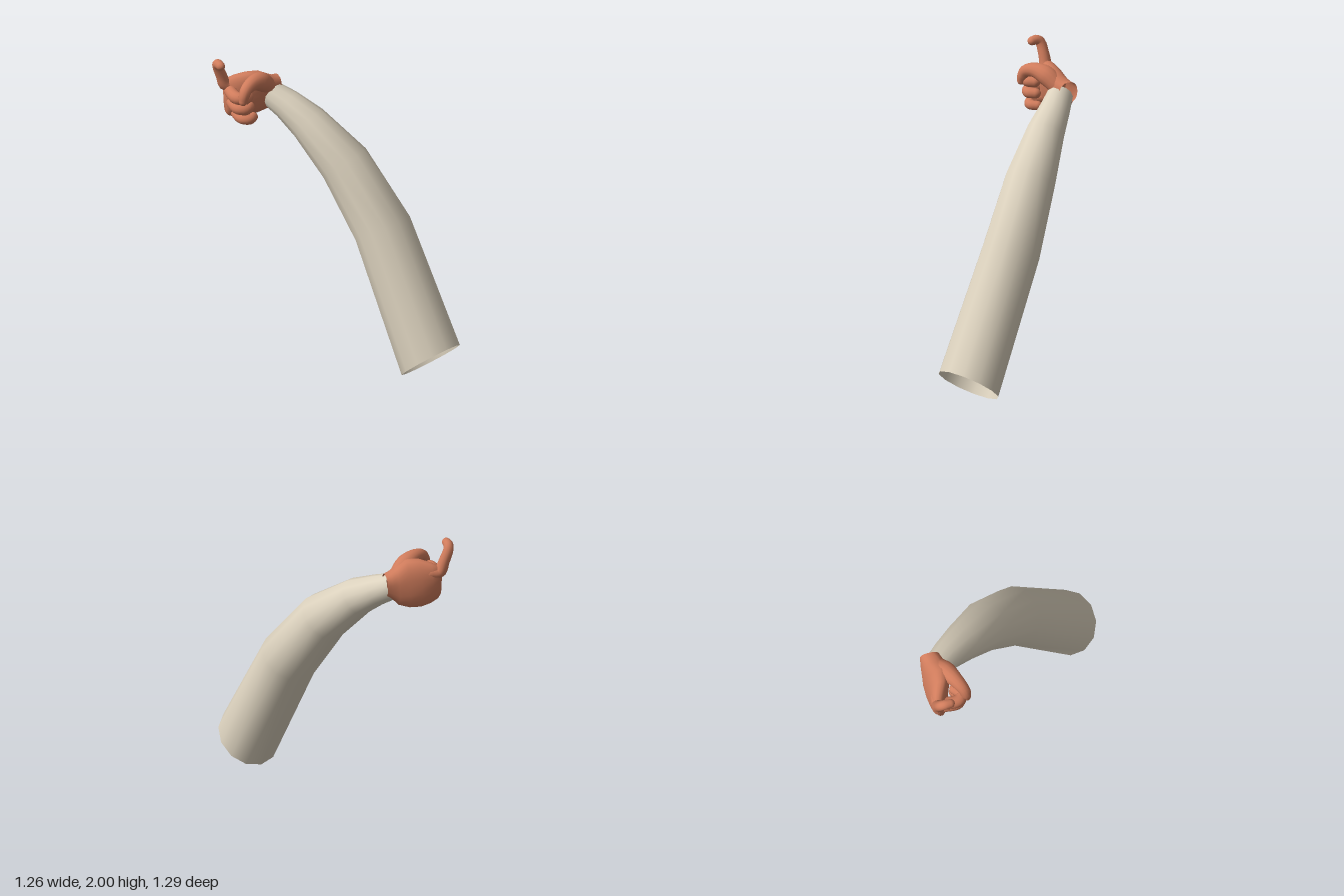
import * as THREE from 'three';

const V = (x, y, z) => new THREE.Vector3(x, y, z);

// Skin a list of equal-length rings with smooth shared normals
function loft(rings) {
  const n = rings[0].length, pos = [], idx = [];
  rings.forEach(r => r.forEach(p => pos.push(p.x, p.y, p.z)));
  for (let i = 0; i < rings.length - 1; i++) {
    for (let j = 0; j < n; j++) {
      const a = i * n + j, b = i * n + (j + 1) % n;
      idx.push(a, b, a + n, b, b + n, a + n);
    }
  }
  const g = new THREE.BufferGeometry();
  g.setAttribute('position', new THREE.Float32BufferAttribute(pos, 3));
  g.setIndex(idx);
  g.computeVertexNormals();
  return g;
}

// Round rings along stations {c, r}, frames carried along the path
function sweep(stations, sides, firstNormal) {
  const normal = V(0.3, 0.2, 1);
  return loft(stations.map(({ c, r }, i) => {
    const prev = stations[Math.max(i - 1, 0)].c;
    const next = stations[Math.min(i + 1, stations.length - 1)].c;
    const t = i === 0 && firstNormal ? firstNormal.clone().normalize() : next.clone().sub(prev).normalize();
    normal.addScaledVector(t, -normal.dot(t)).normalize();
    const b = t.clone().cross(normal);
    return Array.from({ length: sides }, (_, j) => {
      const a = j / sides * Math.PI * 2;
      return c.clone().addScaledVector(normal, r * Math.cos(a)).addScaledVector(b, r * Math.sin(a));
    });
  }));
}

// Finger: smooth tapered tube with rounded ends, points are [x, y, z, radius]
function finger(points) {
  const curve = new THREE.CatmullRomCurve3(points.map(p => V(p[0], p[1], p[2])), false, 'centripetal');
  const st = [], steps = 18, last = points.length - 1;
  for (let i = 0; i <= steps; i++) {
    const f = i / steps * last, k = Math.min(Math.floor(f), last - 1);
    st.push({ c: curve.getPoint(i / steps), r: THREE.MathUtils.lerp(points[k][3], points[k + 1][3], f - k) });
  }
  const cap = (end, dir) => [0.3, 0.6, 0.85, 0.97, 0.9999].map(s => ({
    c: end.c.clone().addScaledVector(dir, end.r * s), r: end.r * Math.sqrt(1 - s * s),
  }));
  const head = cap(st[0], curve.getTangent(0).negate()).reverse();
  const tail = cap(st[steps], curve.getTangent(1));
  return sweep([...head, ...st, ...tail], 14);
}

export function createModel() {
  const cloth = new THREE.MeshStandardMaterial({ color: 0xdcd2be, side: THREE.DoubleSide });
  cloth.name = 'cream cloth';
  const skin = new THREE.MeshStandardMaterial({ color: 0xd07c5c, side: THREE.DoubleSide });
  skin.name = 'skin';

  const model = new THREE.Group();
  model.name = 'arm';
  const hand = new THREE.Group();
  hand.name = 'hand';
  const add = (parent, name, geometry, material) => {
    const m = new THREE.Mesh(geometry, material);
    m.name = name;
    parent.add(m);
  };

  // Sleeve: open tapered tube bending up towards the wrist
  const sleeve = [
    [0.425, 0.131, 0.468, 0.21], [0.265, 0.92, 0.075, 0.19], [0.1, 1.315, -0.15, 0.165],
    [-0.065, 1.548, -0.345, 0.125], [-0.165, 1.65, -0.465, 0.1], [-0.25, 1.715, -0.55, 0.083],
  ].map(([x, y, z, r]) => ({ c: V(x, y, z), r }));
  add(model, 'sleeve', sweep(sleeve, 12, V(-0.25, 0.78, -0.57)), cloth);

  // Palm: cross-sections from the open wrist to the knuckles
  // [x, centre y, centre z, half height, half depth, forward lean of the top]
  const palm = [
    [-0.18, 1.745, -0.572, 0.07, 0.064, 0], [-0.215, 1.735, -0.568, 0.085, 0.07, 0.01],
    [-0.26, 1.72, -0.562, 0.122, 0.076, 0.02], [-0.33, 1.727, -0.562, 0.155, 0.077, 0.03],
    [-0.41, 1.722, -0.57, 0.16, 0.07, 0.02], [-0.48, 1.717, -0.58, 0.145, 0.058, 0],
    [-0.525, 1.717, -0.585, 0.125, 0.045, -0.01], [-0.545, 1.717, -0.585, 0.1, 0.025, -0.01],
    [-0.55, 1.717, -0.585, 0.001, 0.001, 0],
  ];
  const pw = v => Math.sign(v) * Math.abs(v) ** 0.85;
  add(hand, 'palm', loft(palm.map(([x, y, z, h, d, lean]) => Array.from({ length: 24 }, (_, j) => {
    const a = j / 24 * Math.PI * 2, c = pw(Math.cos(a)), s = pw(Math.sin(a));
    return V(x, y + h * c, z - d * s + lean * c);
  }))), skin);

  // Index finger: raised, with the tip bent forwards
  add(hand, 'indexFinger', finger([
    [-0.47, 1.795, -0.59, 0.042], [-0.535, 1.8, -0.598, 0.042], [-0.565, 1.87, -0.598, 0.036],
    [-0.597, 1.95, -0.588, 0.033], [-0.602, 1.968, -0.565, 0.032], [-0.6, 1.967, -0.53, 0.029],
  ]), skin);

  // Three curled fingers, shrinking towards the little finger
  const curled = [
    ['middleFinger', 1.765, 0, 0.041], ['ringFinger', 1.69, 0.01, 0.039], ['littleFinger', 1.615, 0.035, 0.035],
  ];
  for (const [name, y, dx, r] of curled) {
    add(hand, name, finger([
      [-0.44 + dx, y, -0.59, r], [-0.505 + dx, y, -0.585, r], [-0.522 + dx, y - 0.003, -0.52, r],
      [-0.515 + dx, y - 0.008, -0.455, r], [-0.475 + dx, y - 0.012, -0.432, r * 0.92],
      [-0.435 + dx, y - 0.012, -0.465, r * 0.85],
    ]), skin);
  }

  // Thumb: thick at the base, arching over the curled fingers
  add(hand, 'thumb', finger([
    [-0.27, 1.77, -0.535, 0.058], [-0.335, 1.825, -0.495, 0.065], [-0.41, 1.845, -0.45, 0.048],
    [-0.47, 1.825, -0.415, 0.039], [-0.492, 1.785, -0.404, 0.035], [-0.5, 1.752, -0.4, 0.027],
  ]), skin);

  model.add(hand);
  return model;
}
